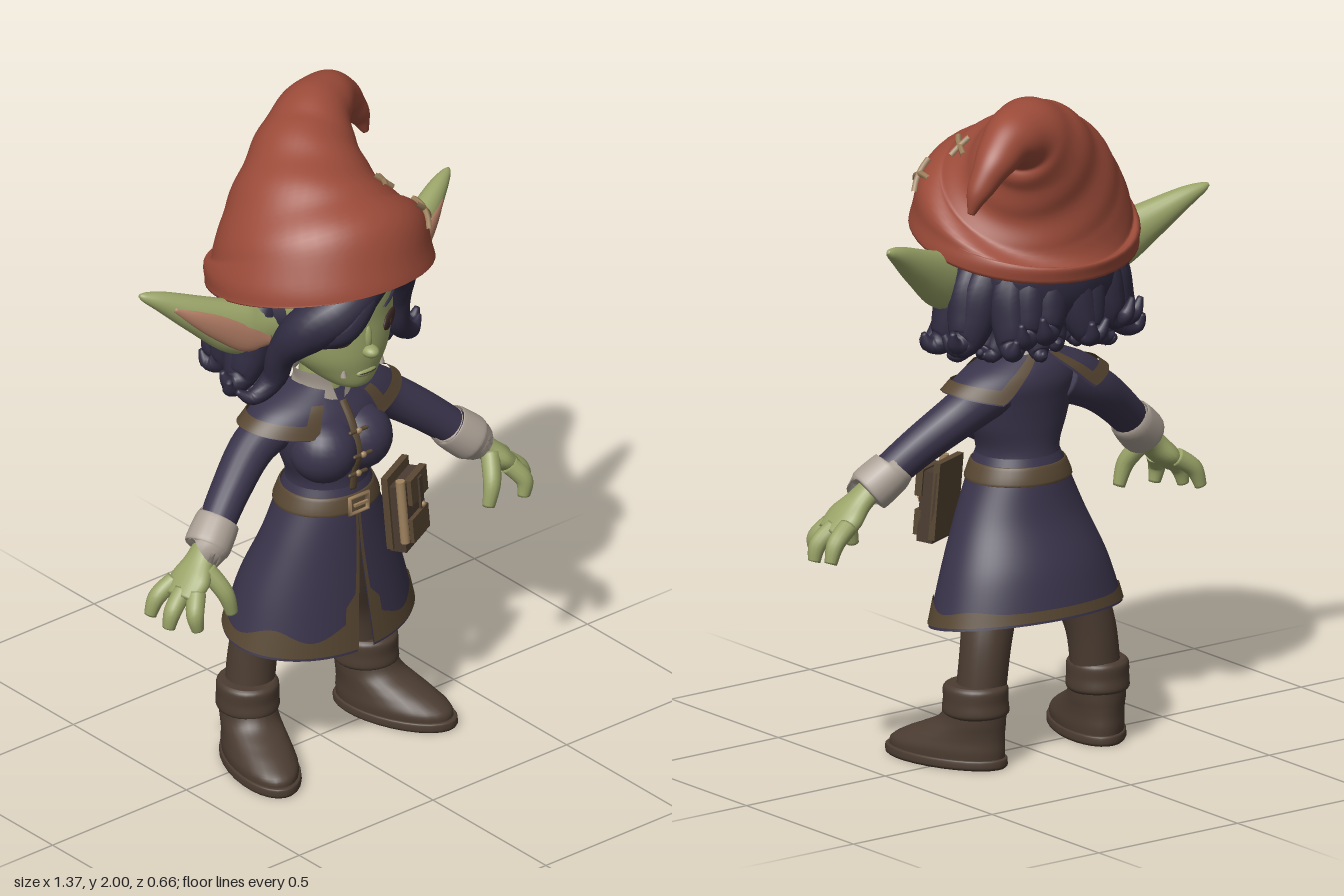
import * as THREE from 'three';
import { mergeVertices } from 'three/addons/utils/BufferGeometryUtils.js';

const mat = (name, color, double) => {
  const m = new THREE.MeshStandardMaterial({ color });
  m.name = name;
  if (double) m.side = THREE.DoubleSide;
  return m;
};
const V = (x, y, z) => new THREE.Vector3(x, y, z);
const { clamp, lerp } = THREE.MathUtils;

// Smooth interpolation through rows of numbers, t from 0 to 1
function sample(rows, t) {
  const s = t * (rows.length - 1), i = clamp(Math.floor(s), 0, rows.length - 2), f = s - i;
  const at = (k) => rows[clamp(k, 0, rows.length - 1)];
  return rows[0].map((_, c) => {
    const a = at(i - 1)[c], b = at(i)[c], d = at(i + 1)[c], e = at(i + 2)[c];
    return b + 0.5 * f * (d - a + f * (2 * a - 5 * b + 4 * d - e + f * (3 * (b - d) + e - a)));
  });
}

// Smooth surface from a function of u, v
function grid(nu, nv, f) {
  const pos = [], idx = [], w = nu + 1;
  for (let j = 0; j <= nv; j++) for (let i = 0; i <= nu; i++) pos.push(...f(i / nu, j / nv).toArray());
  for (let j = 0; j < nv; j++) for (let i = 0; i < nu; i++) {
    const k = j * w + i;
    idx.push(k, k + 1, k + w + 1, k, k + w + 1, k + w);
  }
  let g = new THREE.BufferGeometry();
  g.setAttribute('position', new THREE.Float32BufferAttribute(pos, 3));
  g.setIndex(idx);
  g = mergeVertices(g, 1e-5);
  g.computeVertexNormals();
  return g;
}

// Closed solid around a surface s(u, v, scale): the first and last rows shrink to a point
function solid(s, nu, nv) {
  return grid(nu, nv, (u, v) => {
    const k = Math.round(v * nv), end = k === 0 || k === nv;
    return s(u % 1, clamp((k - 1) / (nv - 2), 0, 1), end ? 0 : 1);
  });
}

// Elliptical section along a path; rows are [x, y, z, radius along up, other radius]
function sweepSurface(rows, up = V(0, 0, 1), mod = () => 1) {
  return (u, t, scale = 1, off = 0) => {
    const a = u * Math.PI * 2, [x, y, z, r1, r2 = r1] = sample(rows, t);
    const p = sample(rows, Math.max(0, t - 0.01)), q = sample(rows, Math.min(1, t + 0.01));
    const T = V(q[0] - p[0], q[1] - p[1], q[2] - p[2]).normalize();
    const N = up.clone().addScaledVector(T, -up.dot(T)).normalize(), B = T.clone().cross(N);
    const k = scale * mod(a, t);
    return V(x, y, z).addScaledVector(N, (Math.max(r1, 0) * k + off) * Math.cos(a))
      .addScaledVector(B, (Math.max(r2, 0) * k + off) * Math.sin(a));
  };
}
const sweep = (rows, up, nu = 20) => solid(sweepSurface(rows, up), nu, rows.length * 5);

// Horizontal rings; rows are [y, z, radiusX, radiusZ, front lift, front gap angle]
function ringSurface(rows) {
  return (u, v, scale = 1, off = 0) => {
    const [y, cz, rx, rz, lift = 0, gap = 0] = sample(rows, v);
    const a = gap + (u === 1 && !gap ? 0 : u) * (Math.PI * 2 - 2 * gap);
    return V((rx + off) * scale * Math.sin(a), y + lift * Math.cos(a), cz + (rz + off) * scale * Math.cos(a));
  };
}
const ringSolid = (rows, nu = 32) => solid(ringSurface(rows), nu, rows.length * 5);

export function createModel() {
  const root = new THREE.Group();
  const hatRed = mat('hat red', 0x9c4b39), skin = mat('green skin', 0x9aa468), coat = mat('coat navy', 0x3a344b, true);
  const hair = mat('hair indigo', 0x312c42), trim = mat('trim brown', 0x584732, true), boot = mat('boot brown', 0x4b3c31);
  const cloth = mat('linen', 0xaba095, true), tan = mat('tan', 0xa0835f), pink = mat('inner ear', 0xae7a62), dark = mat('eye dark', 0x3f2c29);
  const Y = V(0, 1, 0);
  const add = (name, geo, m, x = 0, y = 0, z = 0, parent = root) => {
    const o = new THREE.Mesh(geo, m);
    o.name = name;
    o.position.set(x, y, z);
    parent.add(o);
    return o;
  };
  const ball = (name, m, x, y, z, sx, sy, sz) => {
    const o = add(name, new THREE.SphereGeometry(1, 24, 16), m, x, y, z);
    o.scale.set(sx, sy, sz);
    return o;
  };
  const box = (w, h, d) => new THREE.BoxGeometry(w, h, d);

  // Hat with folds and a drooping tip
  const hatRows = [[-0.003, 1.53, 0.002, 0.328, 0.333], [0, 1.615, -0.018, 0.32, 0.318], [0.01, 1.69, -0.06, 0.262, 0.263], [0.045, 1.77, -0.115, 0.192, 0.198],
    [0.1, 1.845, -0.17, 0.143, 0.146], [0.165, 1.895, -0.21, 0.106, 0.105], [0.25, 1.895, -0.247, 0.078, 0.076], [0.325, 1.845, -0.275, 0.056, 0.054],
    [0.38, 1.775, -0.28, 0.034, 0.034], [0.402, 1.715, -0.275, 0.01, 0.01]];
  const hatAt = sweepSurface(hatRows, V(0, 0, 1), (a, t) => 1 + 0.016 * Math.sin(52 * t + 1.6 * Math.sin(a + 0.6)) * Math.min(1, 8 * t)
    + 0.025 * Math.max(0, Math.cos(a + 0.4)) * Math.max(0, 1 - 5 * t));
  add('hat', solid(hatAt, 48, 90), hatRed);
  for (const [u, t] of [[0.07, 0.28], [0.133, 0.133]]) for (const s of [1, -1]) {
    const pts = [-1, -0.5, 0, 0.5, 1].map((k) => hatAt(u + 0.024 * k, t + 0.026 * k * s + 0.006 * k, 1, 0.007));
    add('hatStitch', new THREE.TubeGeometry(new THREE.CatmullRomCurve3(pts), 8, 0.009, 6), tan);
  }

  // Head and face
  add('head', ringSolid([[1.217, 0.145, 0.03, 0.03], [1.235, 0.128, 0.068, 0.07], [1.28, 0.085, 0.118, 0.125], [1.34, 0.05, 0.165, 0.168],
    [1.43, 0.03, 0.192, 0.185], [1.54, 0.02, 0.185, 0.183], [1.64, 0, 0.1, 0.1]], 36), skin);
  ball('nose', skin, 0, 1.352, 0.222, 0.024, 0.019, 0.03);
  ball('noseBridge', skin, 0, 1.392, 0.206, 0.015, 0.045, 0.018);
  ball('lips', skin, 0, 1.279, 0.203, 0.036, 0.014, 0.014);
  ball('mouthLine', dark, 0, 1.28, 0.212, 0.03, 0.0025, 0.007);
  for (const s of [1, -1]) {
    const m = (rows) => rows.map(([x, ...r]) => [s * x, ...r]);
    ball('eye', dark, s * 0.1, 1.408, 0.189, 0.048, 0.027, 0.008).rotation.set(0, s * 0.55, s * 0.08);
    ball('iris', pink, s * 0.096, 1.404, 0.196, 0.017, 0.017, 0.004).rotation.y = s * 0.55;
    ball('pupil', dark, s * 0.097, 1.404, 0.199, 0.01, 0.012, 0.003).rotation.y = s * 0.55;
    ball('eyebrow', hair, s * 0.1, 1.475, 0.188, 0.042, 0.005, 0.007).rotation.set(0, s * 0.5, s * 0.22);
    add('tusk', new THREE.ConeGeometry(0.01, 0.04, 8), cloth, s * 0.07, 1.297, 0.188);

    // Long thick ear with a pink hollow
    add('ear', sweep(m([[0.16, 1.42, 0.03, 0.05, 0.035], [0.24, 1.425, 0.012, 0.07, 0.046], [0.31, 1.445, -0.012, 0.082, 0.052], [0.42, 1.508, -0.052, 0.056, 0.045],
      [0.51, 1.563, -0.088, 0.032, 0.03], [0.56, 1.588, -0.108, 0.016, 0.016], [0.578, 1.597, -0.115, 0.005, 0.005]]), Y), skin);
    add('innerEar', sweep(m([[0.23, 1.402, 0.046, 0.02, 0.018], [0.29, 1.42, 0.032, 0.046, 0.02], [0.37, 1.468, 0.004, 0.041, 0.02],
      [0.44, 1.512, -0.023, 0.026, 0.015], [0.5, 1.55, -0.052, 0.008, 0.006]]), Y), pink);

    // Sleeve, cuff and hand
    add('sleeve', sweep(m([[0.12, 1.085, -0.01, 0.075, 0.075], [0.24, 1.03, -0.01, 0.066, 0.066], [0.36, 0.945, 0.03, 0.058, 0.058], [0.47, 0.85, 0.075, 0.052, 0.052]])), coat);
    add('cuff', sweep(m([[0.427, 0.888, 0.058, 0.056, 0.056], [0.435, 0.88, 0.06, 0.065, 0.065], [0.49, 0.832, 0.082, 0.068, 0.068], [0.498, 0.825, 0.085, 0.058, 0.058]])), cloth);
    add('palm', sweep(m([[0.47, 0.85, 0.075, 0.038, 0.035], [0.525, 0.8, 0.09, 0.048, 0.034], [0.57, 0.755, 0.1, 0.07, 0.036], [0.615, 0.715, 0.11, 0.055, 0.027]])), skin);
    const fingers = [[[0.59, 0.745, 0.055], [0.645, 0.705, 0.043], [0.667, 0.65, 0.038]], [[0.6, 0.735, 0.105], [0.65, 0.69, 0.118], [0.665, 0.64, 0.118]],
      [[0.585, 0.735, 0.145], [0.615, 0.69, 0.175], [0.61, 0.64, 0.18]], [[0.53, 0.785, 0.125], [0.5, 0.72, 0.17], [0.48, 0.65, 0.178]]];
    for (const f of fingers) add('finger', sweep(m(f.map((p, i) => [...p, ...Array(2).fill([0.028, 0.026, 0.018][i])])), V(0.3, 0.2, 1).normalize(), 12), skin);

    // Leg and boot
    add('leg', sweep(m([[0.09, 0.68, 0, 0.09, 0.085], [0.15, 0.48, -0.04, 0.083, 0.08], [0.19, 0.34, -0.066, 0.073, 0.073], [0.21, 0.18, -0.066, 0.072, 0.072]])), boot);
    const foot = new THREE.Group();
    foot.name = 'boot';
    foot.position.set(s * 0.22, 0, -0.06);
    foot.rotation.y = s * 0.33;
    root.add(foot);
    const bootPart = (name, rows) => add(name, ringSolid(rows, 28), boot, 0, 0, 0, foot);
    bootPart('sole', [[0, 0.1, 0.094, 0.194], [0.008, 0.1, 0.1, 0.2], [0.026, 0.1, 0.099, 0.199], [0.03, 0.1, 0.093, 0.193]]);
    bootPart('foot', [[0.02, 0.098, 0.093, 0.188], [0.05, 0.094, 0.095, 0.186], [0.08, 0.07, 0.09, 0.16], [0.105, 0.042, 0.086, 0.132], [0.135, 0.012, 0.083, 0.103], [0.18, 0, 0.081, 0.09], [0.24, 0, 0.078, 0.084]]);
    bootPart('bootCuff', [[0.15, 0, 0.082, 0.086], [0.162, 0, 0.091, 0.099], [0.195, 0, 0.09, 0.096], [0.23, 0, 0.089, 0.096], [0.243, 0, 0.078, 0.084]]);

    // Bust and half of the capelet, its back edge slanting outward, with trim along the edges
    ball('chest', coat, s * 0.064, 1.0, 0.092, 0.101, 0.1, 0.1);
    const cape = (name, material, w0, w1, t0, t1, off) => add(name, grid(32, 10, (u, v) => {
      const t = lerp(t0, t1, v), a = s * lerp(0.42, 2.95 - 0.45 * (1 - t), lerp(w0, w1, s > 0 ? u : 1 - u));
      const [y, rx, rz, rise] = sample([[1.05, 0.276, 0.145, 0.045], [1.13, 0.2, 0.122, 0.015], [1.188, 0.09, 0.08, 0]], t);
      return V((rx + off) * Math.sin(a), y + rise * Math.sin(a) ** 2 + off, (rz + off) * Math.cos(a) - 0.004);
    }), material);
    cape('capelet', coat, 0, 1, 0, 1, 0);
    cape('capeletTrim', trim, 0, 1, 0, 0.28, 0.006);
    cape('capeletFrontTrim', trim, 0, 0.09, 0.25, 0.6, 0.006);
    cape('capeletBackTrim', trim, 0.9, 1, 0.25, 0.95, 0.006);
  }

  // Hair: cap, swept fringe and two rings of curling locks
  ball('hairCap', hair, 0, 1.45, -0.065, 0.255, 0.2, 0.215);
  const lock = (name, rows) => add(name, sweep(rows.map((r) => [...r, r[3]]), V(0.2, 0.3, 1).normalize(), 14), hair);
  lock('fringe', [[0.08, 1.63, 0.23, 0.03], [-0.03, 1.6, 0.255, 0.055], [-0.13, 1.535, 0.235, 0.077], [-0.205, 1.47, 0.175, 0.07], [-0.235, 1.38, 0.11, 0.045], [-0.24, 1.29, 0.08, 0.036], [-0.3, 1.24, 0.06, 0.024], [-0.345, 1.265, 0.04, 0.008]]);
  lock('fringe', [[0.05, 1.64, 0.22, 0.03], [0.13, 1.59, 0.195, 0.045], [0.19, 1.5, 0.13, 0.048], [0.212, 1.4, 0.085, 0.044], [0.23, 1.3, 0.07, 0.036], [0.3, 1.24, 0.05, 0.024], [0.345, 1.265, 0.03, 0.008]]);
  lock('fringeCurl', [[0, 1.62, 0.25, 0.03], [-0.08, 1.56, 0.275, 0.045], [-0.14, 1.49, 0.26, 0.048], [-0.2, 1.45, 0.21, 0.025]]);
  const ringOfLocks = (n, a0, path) => {
    for (let i = 0; i < n; i++) {
      const a = a0 + (i * (Math.PI * 2 - 2 * a0)) / (n - 1), back = Math.max(0, -Math.cos(a)), w = 0.16 * Math.sin(i * 2.4);
      lock('hairLock', path.map(([r, y, k], j) => {
        const q = r * (1 - 0.09 * back), b = a + (w * j) / 3;
        return [q * Math.sin(b), y + (0.045 * back + 0.02 * Math.sin(i * 1.7)) * (j / 4), -0.04 + 0.78 * q * Math.cos(b), k];
      }));
    }
  };
  ringOfLocks(13, 1.35, [[0.2, 1.51, 0.045], [0.245, 1.42, 0.058], [0.262, 1.33, 0.058], [0.29, 1.26, 0.042], [0.335, 1.25, 0.024], [0.355, 1.285, 0.008]]);
  ringOfLocks(10, 1.45, [[0.17, 1.42, 0.05], [0.2, 1.33, 0.055], [0.215, 1.265, 0.042], [0.25, 1.215, 0.026], [0.285, 1.215, 0.008]]);

  // Neck and open collar
  add('neck', new THREE.CylinderGeometry(0.062, 0.072, 0.2, 24), skin, 0, 1.19, 0.008);
  const collar = ringSurface([[1.155, 0.012, 0.092, 0.086, -0.035, 0.06], [1.195, 0.01, 0.086, 0.078, -0.012, 0.28], [1.24, 0.01, 0.097, 0.082, -0.005, 0.5]]);
  add('collar', grid(32, 8, (u, v) => collar(u, v)), cloth);

  // Coat body
  const torso = ringSurface([[0.8, 0.025, 0.14, 0.13], [0.89, 0.03, 0.124, 0.114], [0.97, 0.03, 0.152, 0.117], [1.04, 0.025, 0.168, 0.12],
    [1.1, 0.01, 0.172, 0.112], [1.15, 0, 0.13, 0.088], [1.185, 0.005, 0.07, 0.06]]);
  add('coatBody', grid(36, 30, (u, v) => torso(u, v)), coat);
  const placket = [[1.14, 0.1], [1.08, 0.143], [1.0, 0.173], [0.93, 0.155], [0.87, 0.146]].map(([y, z]) => [0, y, z, 0.006, 0.013]);
  add('placket', sweep(placket, V(0, 0, 1), 10), trim);
  for (const [y, z] of [[1.07, 0.17], [1.0, 0.19], [0.93, 0.168]]) {
    add('clasp', new THREE.CapsuleGeometry(0.006, 0.06, 4, 8), trim, 0, y, z).rotation.z = Math.PI / 2;
    ball('claspKnot', tan, 0, y, z + 0.003, 0.01, 0.01, 0.008);
  }

  // Split skirt with wavy hem trim
  const skirt = ringSurface([[0.4, -0.008, 0.31, 0.212, -0.03, 0.095], [0.55, 0, 0.265, 0.188, -0.014, 0.06], [0.7, 0.02, 0.203, 0.153, 0, 0.012],
    [0.82, 0.028, 0.15, 0.134, 0, 0.004], [0.88, 0.03, 0.125, 0.116, 0, 0.002]]);
  add('skirt', grid(72, 28, (u, v) => skirt(u, v)), coat);
  const band = (name, u0, u1, low, top, nu) => add(name, grid(nu, 8, (u, v) => {
    const k = u0 + (u1 - u0) * u;
    return skirt(k, low + (top(k) - low) * v, 1, 0.005);
  }), trim);
  band('hemTrim', 0, 1, 0.025, (u) => {
    const c = Math.cos(u * Math.PI * 2);
    return 0.112 + 0.025 * c + 0.017 * (1 + c) * Math.cos(u * Math.PI * 12);
  }, 96);
  band('slitTrim', 0, 0.026, 0.04, (u) => 0.3 - 3 * u, 4);
  band('slitTrim', 0.974, 1, 0.04, (u) => 0.3 - 3 * (1 - u), 4);
  band('slitEdge', 0, 0.008, 0.2, () => 0.75, 2);
  band('slitEdge', 0.992, 1, 0.2, () => 0.75, 2);

  // Belt, buckle and pouch
  const belt = ringSurface([[0.805, 0.027, 0.156, 0.139], [0.81, 0.027, 0.161, 0.145], [0.852, 0.028, 0.143, 0.133], [0.858, 0.028, 0.137, 0.127]]);
  add('belt', grid(40, 8, (u, v) => belt(u, v)), trim);
  const frame = add('buckle', new THREE.TorusGeometry(0.036, 0.007, 6, 4), tan, 0, 0.832, 0.172);
  frame.geometry.rotateZ(Math.PI / 4);
  frame.scale.set(1.3, 1, 1);
  add('bucklePin', box(0.05, 0.008, 0.008), tan, 0.005, 0.832, 0.176);
  const pouch = new THREE.Group();
  pouch.name = 'pouch';
  pouch.position.set(0.2, 0.74, 0.142);
  pouch.rotation.set(-0.08, 0.45, 0.06);
  root.add(pouch);
  add('pouchBody', box(0.14, 0.21, 0.05), boot, 0, -0.01, 0, pouch);
  add('pouchBack', box(0.15, 0.23, 0.02), trim, -0.005, 0.01, -0.022, pouch);
  add('pouchFlap', box(0.11, 0.08, 0.022), trim, 0.022, 0.06, 0.028, pouch);
  add('pouchPocket', box(0.11, 0.075, 0.02), trim, 0.015, -0.06, 0.028, pouch);
  add('pouchStrap', box(0.022, 0.1, 0.008), boot, 0.022, 0.04, 0.041, pouch);
  add('pouchButton', new THREE.SphereGeometry(0.009, 10, 8), tan, 0.022, 0.0, 0.045, pouch);
  add('pouchScroll', new THREE.CylinderGeometry(0.014, 0.014, 0.2, 10), tan, -0.062, 0.015, 0.02, pouch);

  return root;
}
